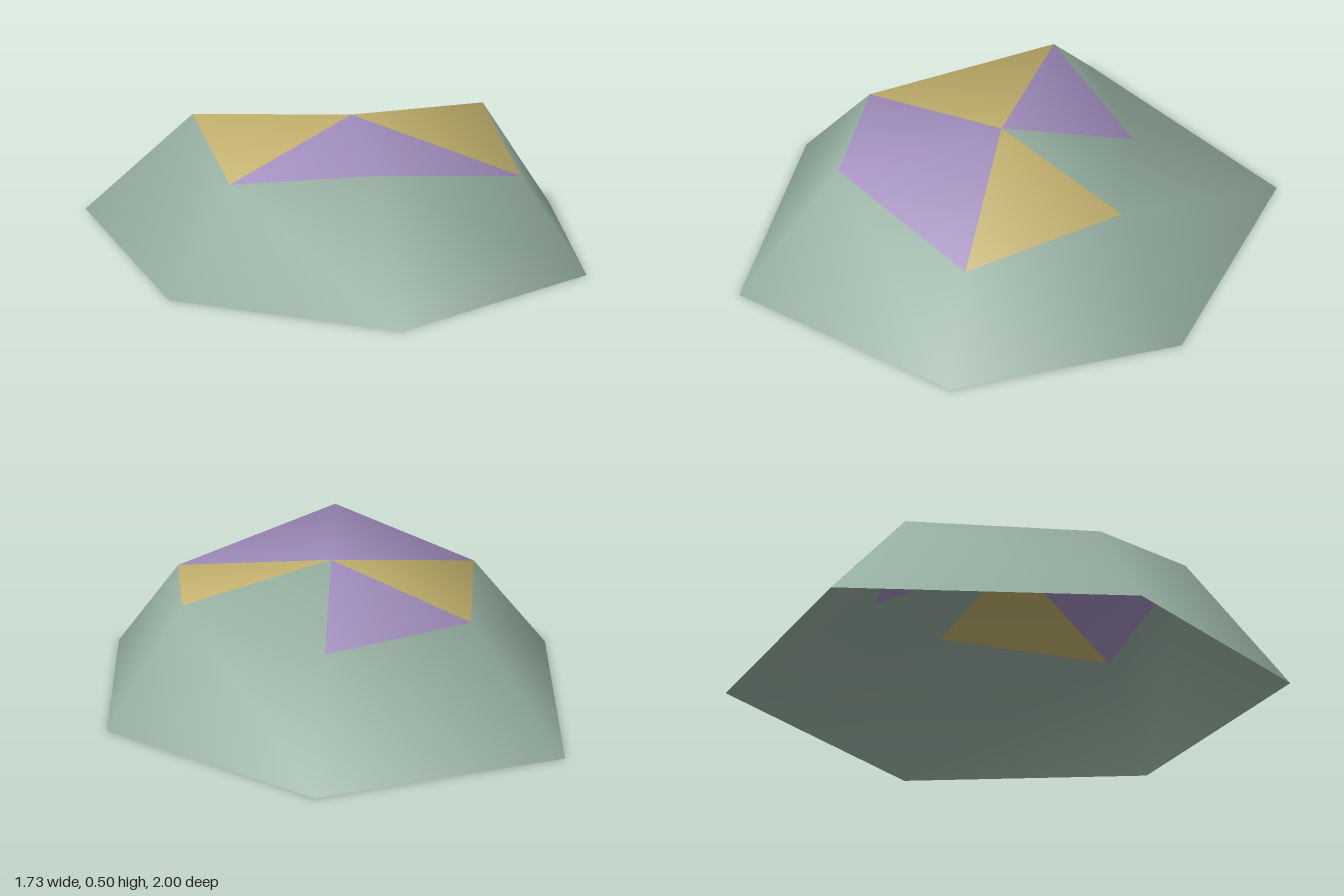
import * as THREE from 'three';

const material = (name, color) =>
  new THREE.MeshStandardMaterial({ name, color, side: THREE.DoubleSide });

export function createModel() {
  const materials = [
    material('sageGreen', 0x94ad9f),
    material('softPurple', 0xa18dbd),
    material('ochreYellow', 0xc2b06c),
  ];
  const [GREEN, PURPLE, YELLOW] = [0, 1, 2];

  // cross-sections, both clockwise from the back corner: ground outline and upper rim
  const base = [
    [-0.035, 0, -1], [0.785, 0, -0.475], [0.862, 0, 0.385],
    [0.163, 0, 1], [-0.64, 0, 0.58], [-0.865, 0, -0.505],
  ];
  const rim = [
    [0.003, 0.336, -0.47], [0.538, 0.43, -0.31], [0.635, 0.342, 0.28],
    [0.12, 0.465, 0.63], [-0.41, 0.37, 0.4], [-0.498, 0.415, -0.29],
  ];
  const apex = [0.048, 0.5, 0.02];
  const capColors = [GREEN, YELLOW, PURPLE, PURPLE, YELLOW, PURPLE];

  // collect the triangles of each colour; all share vertices for smooth shading
  const n = base.length, top = 2 * n;
  const faces = [[], [], []];
  for (let i = 0; i < n; i++) {
    const j = (i + 1) % n;
    faces[GREEN].push(j, i, n + j, i, n + i, n + j); // sloping wall
    faces[capColors[i]].push(n + j, n + i, top);     // cap panel
  }

  const geometry = new THREE.BufferGeometry();
  geometry.setAttribute('position',
    new THREE.Float32BufferAttribute([...base, ...rim, apex].flat(), 3));
  geometry.setIndex(faces.flat());
  let start = 0;
  faces.forEach((list, m) => {
    geometry.addGroup(start, list.length, m);
    start += list.length;
  });
  geometry.computeVertexNormals();

  // open-bottomed shell with coloured cap panels
  const shell = new THREE.Mesh(geometry, materials);
  shell.name = 'domeShell';
  const group = new THREE.Group();
  group.name = 'facetedDome';
  group.add(shell);
  return group;
}
